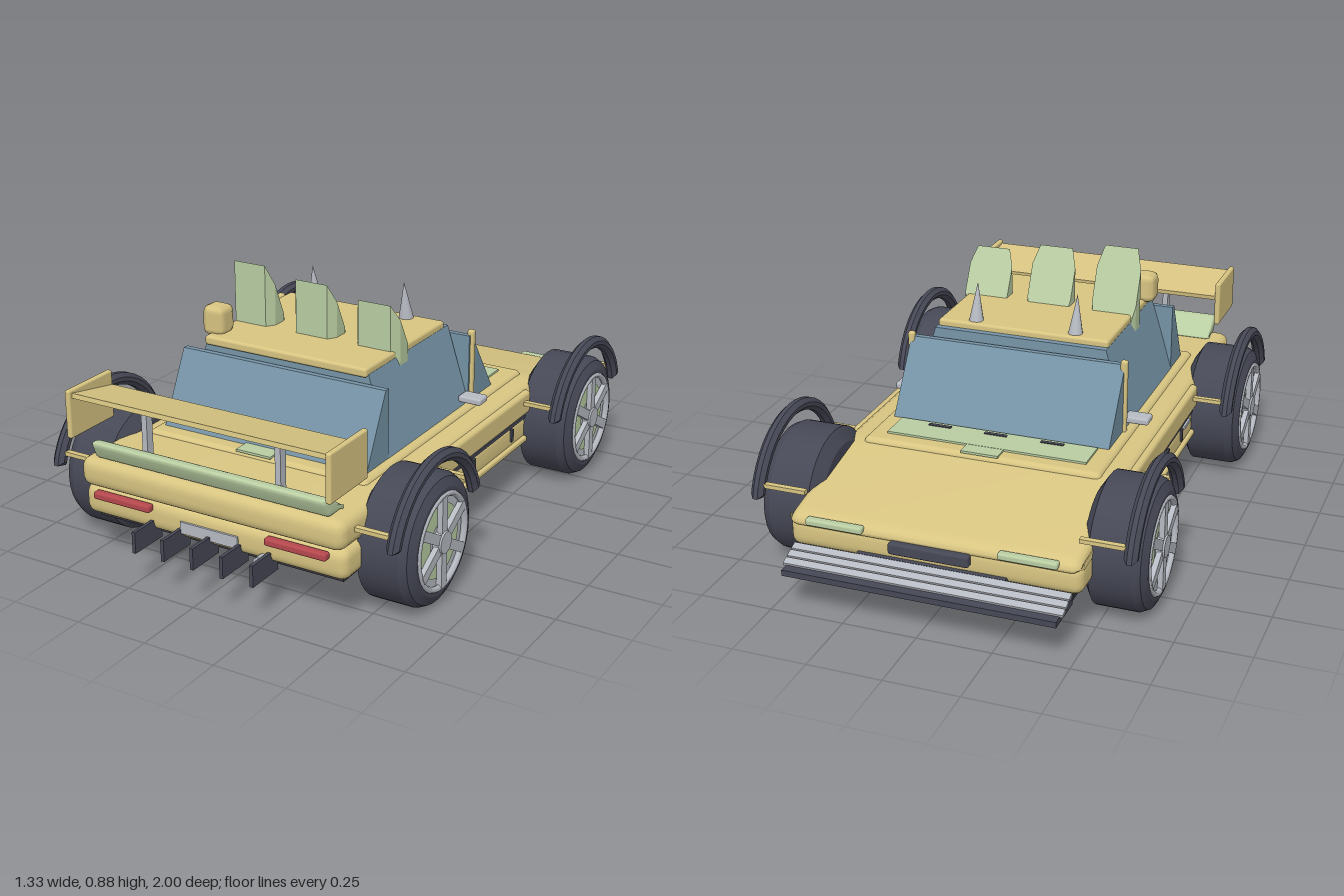
import * as THREE from 'three';
import { toCreasedNormals } from 'three/addons/utils/BufferGeometryUtils.js';
import { RoundedBoxGeometry } from 'three/addons/geometries/RoundedBoxGeometry.js';

const paint = (name, color) => Object.assign(new THREE.MeshStandardMaterial({ color }), { name });

// Polygon with rounded corners
function roundedShape(pts, r) {
  const shape = new THREE.Shape();
  const v = pts.map(([a, b]) => new THREE.Vector2(a, b));
  v.forEach((p, i) => {
    const toward = (q) => {
      const d = q.clone().sub(p);
      return p.clone().add(d.setLength(Math.min(r, d.length() * 0.45)));
    };
    const a = toward(v[(i + v.length - 1) % v.length]);
    const b = toward(v[(i + 1) % v.length]);
    if (i) shape.lineTo(a.x, a.y); else shape.moveTo(a.x, a.y);
    shape.quadraticCurveTo(p.x, p.y, b.x, b.y);
  });
  shape.closePath();
  return shape;
}

// Side profile drawn in (z, y), extruded to a total width along x and centred
function sideExtrude(shape, width, bevel = 0, segments = 1, curveSegments = 6) {
  const g = new THREE.ExtrudeGeometry(shape, {
    depth: width - 2 * bevel, bevelEnabled: bevel > 0, bevelSize: bevel, bevelThickness: bevel,
    bevelOffset: -bevel, bevelSegments: segments, curveSegments,
  });
  g.translate(0, 0, -(width - 2 * bevel) / 2).rotateY(-Math.PI / 2);
  return g;
}
const polygon = (pts) => new THREE.Shape(pts.map(([a, b]) => new THREE.Vector2(a, b)));

// Moves vertices of a geometry by a rule
function deform(g, rule) {
  const p = g.attributes.position, v = new THREE.Vector3();
  for (let i = 0; i < p.count; i++) {
    rule(v.fromBufferAttribute(p, i));
    p.setXYZ(i, v.x, v.y, v.z);
  }
  const out = g.index ? g.toNonIndexed() : g;
  out.computeVertexNormals();
  return out;
}

export function createModel() {
  const car = new THREE.Group();
  car.name = 'buggyCar';
  const tan = paint('sandPaint', 0xd8c582), dark = paint('darkRubber', 0x464856);
  const sage = paint('sageGreen', 0xb9cda2), glass = paint('blueGlass', 0x7593a6);
  const grey = paint('lightMetal', 0xb6bac2), red = paint('redLamp', 0xb5484e);
  const black = paint('underbody', 0x34353c);

  const add = (name, geo, mat, x = 0, y = 0, z = 0, parent = car) => {
    const m = new THREE.Mesh(geo, mat);
    m.name = name;
    m.position.set(x, y, z);
    parent.add(m);
    return m;
  };
  const box = (name, w, h, d, mat, x, y, z, parent) => add(name, new THREE.BoxGeometry(w, h, d), mat, x, y, z, parent);
  const soft = (name, w, h, d, r, mat, x, y, z) => add(name, new RoundedBoxGeometry(w, h, d, 3, r), mat, x, y, z);

  // Body tiers, with the hood falling towards -z
  add('upperBody', toCreasedNormals(sideExtrude(roundedShape([
    [0.92, 0.27], [0.92, 0.37], [-0.45, 0.37], [-0.87, 0.285], [-0.885, 0.245], [-0.8, 0.24]], 0.04),
  0.98, 0.035, 4), 0.7), tan);
  add('lowerBody', toCreasedNormals(sideExtrude(roundedShape([
    [0.9, 0.165], [0.9, 0.27], [-0.87, 0.27], [-0.87, 0.165]], 0.04), 0.98, 0.03, 4), 0.7), tan);
  box('floor', 0.92, 0.025, 1.72, black, 0, 0.162, 0);
  soft('cabinDeck', 0.83, 0.05, 1.12, 0.02, tan, 0, 0.358, 0.09);

  // Cabin glass: two wedges and a tapered middle
  add('windshield', sideExtrude(polygon([[-0.1, 0.37], [-0.1, 0.62], [-0.12, 0.62], [-0.29, 0.37]]), 0.77), glass);
  add('rearGlass', sideExtrude(polygon([[0.6, 0.37], [0.475, 0.62], [0.455, 0.62], [0.455, 0.37]]), 0.77), glass);
  add('sideGlass', deform(new THREE.BoxGeometry(0.78, 0.28, 0.56), (v) => {
    if (v.y > 0) { v.x *= 0.79; v.z *= 0.96; }
  }), glass, 0, 0.51, 0.18);
  soft('roof', 0.615, 0.032, 0.53, 0.01, tan, 0, 0.657, 0.2);

  // Roof fins: chamfered prisms with a slanted top
  [[-0.24, 0.885], [0, 0.858], [0.237, 0.828]].forEach(([x, top]) => {
    const outline = polygon([[-0.06, -0.29], [0.06, -0.29], [0.08, -0.26], [0.08, -0.21],
      [0.06, -0.165], [-0.06, -0.165], [-0.08, -0.21], [-0.08, -0.26]]);
    const g = new THREE.ExtrudeGeometry(outline, { depth: 1, bevelEnabled: false }).rotateX(-Math.PI / 2);
    add('roofFin', deform(g, (v) => {
      v.y = v.y > 0.5 ? top - (0.29 - v.z) * (top - 0.6) / 0.125 : 0.595;
    }), sage, x);
  });

  // Roof lamp
  const lamp = new THREE.IcosahedronGeometry(1, 1);
  lamp.dispose();
  add('roofLamp', new RoundedBoxGeometry(0.085, 0.105, 0.085, 1, 0.025), tan, -0.298, 0.712, 0.395);

  // Rear wing, slightly tilted, with end plates
  box('wingBlade', 0.94, 0.016, 0.205, tan, 0, 0.58, 0.86).rotation.x = -0.19;
  // Ducktail under the wing
  add('ducktail', toCreasedNormals(sideExtrude(roundedShape([
    [0.9, 0.37], [0.925, 0.435], [0.89, 0.435], [0.8, 0.37]], 0.02), 0.87, 0.012, 3), 0.7), sage);

  // Centre stripe and cowl panel with vents
  box('cowlPanel', 0.7, 0.008, 0.12, sage, 0, 0.386, -0.353);
  box('frontStripe', 0.13, 0.008, 0.06, sage, 0, 0.385, -0.437);
  box('rearStripe', 0.13, 0.008, 0.06, sage, 0, 0.385, 0.62);
  for (const x of [-0.2, 0, 0.2]) box('cowlVent', 0.08, 0.008, 0.014, dark, x, 0.389, -0.315);

  // Rear fascia
  box('numberPlate', 0.215, 0.04, 0.01, grey, 0, 0.209, 0.902);
  const pipe = add('tailpipe', new THREE.CylinderGeometry(0.021, 0.021, 0.1, 16), grey, 0.2, 0.173, 0.88);
  pipe.rotation.x = Math.PI / 2;
  for (let i = -2; i <= 2; i++) box('diffuserFin', 0.012, 0.073, 0.14, dark, i * 0.11, 0.167, 0.93);

  // Nose
  soft('grille', 0.27, 0.04, 0.03, 0.008, dark, 0, 0.235, -0.887);
  box('splitterBlade', 0.91, 0.02, 0.15, dark, 0, 0.14, -0.925);
  for (let i = 0; i < 3; i++) {
    box('splitterSlat', 0.93, 0.012, 0.026, grey, 0, 0.157 + i * 0.011, -0.955 + i * 0.03).rotation.x = -0.35;
  }
  box('splitterMount', 0.5, 0.05, 0.05, dark, 0, 0.165, -0.86);

  // Mirrored details
  for (const s of [-1, 1]) {
    soft('wingEndPlate', 0.02, 0.162, 0.218, 0.007, tan, s * 0.475, 0.537, 0.865);
    box('wingPost', 0.02, 0.19, 0.03, grey, s * 0.247, 0.475, 0.87);
    soft('tailLamp', 0.22, 0.026, 0.03, 0.008, red, s * 0.325, 0.249, 0.91);
    soft('headlamp', 0.195, 0.024, 0.03, 0.008, sage, s * 0.323, 0.272, -0.88);
    soft('windshieldPost', 0.024, 0.27, 0.024, 0.008, tan, s * 0.383, 0.502, -0.12);
    soft('mirror', 0.085, 0.024, 0.06, 0.008, grey, s * 0.42, 0.412, -0.068);
    const spike = deform(new THREE.ConeGeometry(0.027, 0.14, 12), (v) => { if (v.y > 0) v.z += 0.02; });
    add('roofSpike', toCreasedNormals(spike, 0.7), grey, s * 0.18, 0.735, -0.03);

    // Side sill, rails and handle
    soft('sideBulge', 0.03, 0.085, 0.76, 0.014, tan, s * 0.49, 0.318, 0.02);
    box('sideGroove', 0.012, 0.012, 0.76, dark, s * 0.487, 0.262, 0.02);
    soft('sillRail', 0.02, 0.022, 0.78, 0.008, tan, s * 0.492, 0.178, 0.02);
    for (const z of [0.235, 0.06, -0.235]) box('sillBracket', 0.014, 0.045, 0.016, dark, s * 0.49, 0.228, z);
    box('sideHandle', 0.012, 0.012, 0.075, grey, s * 0.492, 0.245, 0.3);

    for (const z of [0.592, -0.555]) addWheel(s, z);
  }

  function addWheel(s, z) {
    const wheel = new THREE.Group();
    wheel.name = 'wheel';
    wheel.position.set(0, 0.217, z);
    if (s < 0) wheel.rotation.y = Math.PI;
    car.add(wheel);
    const onAxle = (g) => g.rotateZ(-Math.PI / 2);

    // Tyre with chamfered shoulders and a recessed outer face
    const profile = [[0, 0.445], [0.17, 0.445], [0.217, 0.475], [0.217, 0.615], [0.205, 0.64],
      [0.175, 0.655], [0.163, 0.655], [0.158, 0.635], [0, 0.635]].map(([r, a]) => new THREE.Vector2(r, a));
    add('tyre', toCreasedNormals(onAxle(new THREE.LatheGeometry(profile, 36)), 0.4), dark, 0, 0, 0, wheel);

    // Rim, brake ring, spokes and hub
    add('rimRing', new THREE.TorusGeometry(0.154, 0.011, 6, 36).rotateY(Math.PI / 2), grey, 0.65, 0, 0, wheel);
    add('rimDish', onAxle(new THREE.CylinderGeometry(0.15, 0.15, 0.01, 36)), grey, 0.635, 0, 0, wheel);
    add('brakeRing', new THREE.RingGeometry(0.06, 0.122, 36).rotateY(Math.PI / 2), sage, 0.643, 0, 0, wheel);
    for (let i = 0; i < 6; i++) {
      const a = (i * Math.PI) / 3;
      const spoke = box('spoke', 0.018, 0.125, 0.034, grey, 0.652, Math.cos(a) * 0.09, Math.sin(a) * 0.09, wheel);
      spoke.rotation.x = a;
    }
    add('hub', onAxle(new THREE.CylinderGeometry(0.036, 0.042, 0.03, 18)), grey, 0.652, 0, 0, wheel);

    // Open mudguard arch and the struts that carry it
    const a0 = 0.25, arch = new THREE.Shape();
    arch.absarc(0, 0, 0.292, a0, Math.PI - a0, false);
    arch.absarc(0, 0, 0.25, Math.PI - a0, a0, true);
    add('mudguard', sideExtrude(arch, 0.044, 0.014, 1, 10), dark, 0.626, 0, 0, wheel);
    for (const t of [-1, 1]) box('mudguardStrut', 0.16, 0.014, 0.02, tan, 0.54, 0.11, t * 0.246, wheel);
  }

  return car;
}
